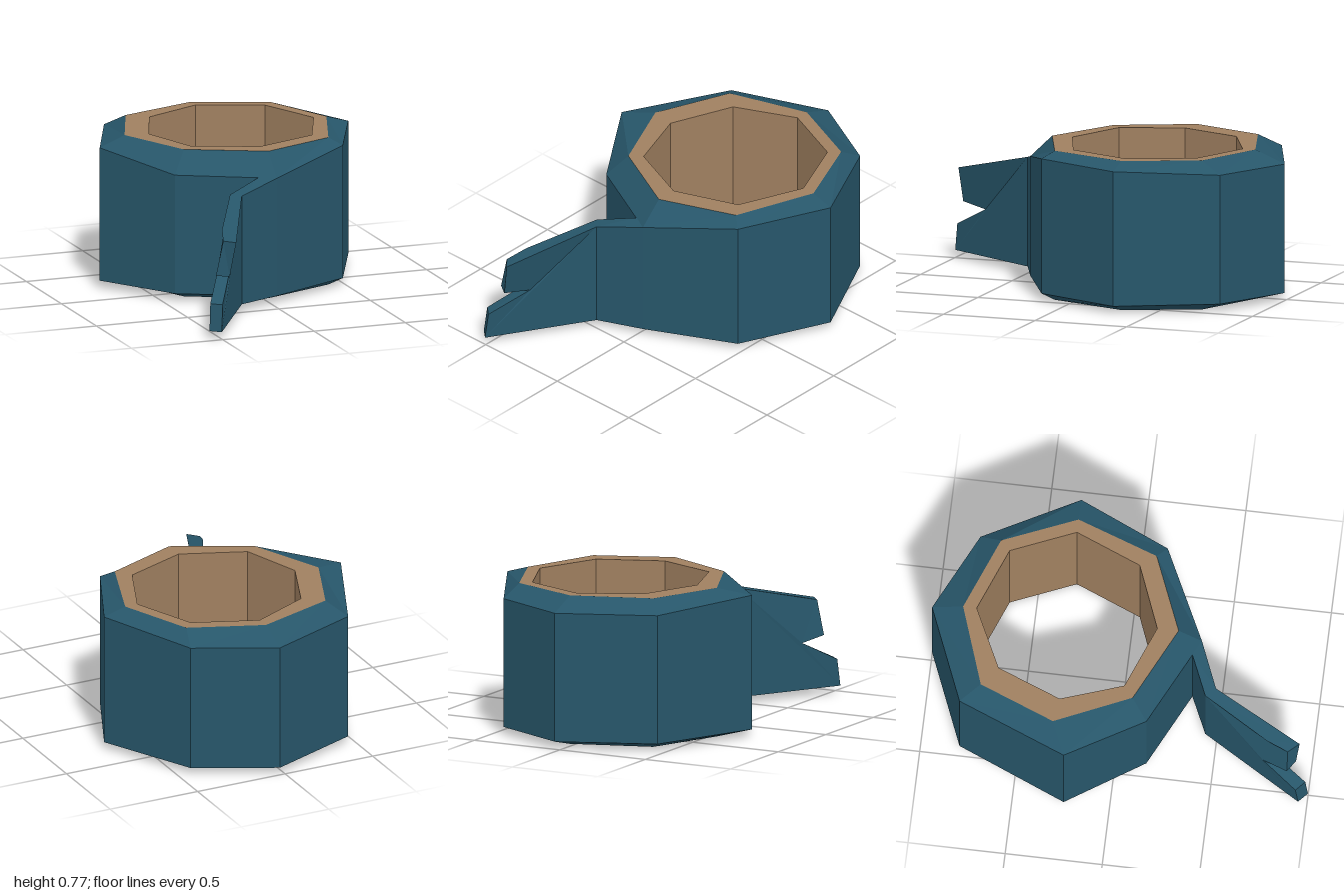
import * as THREE from 'three';

const teal = new THREE.MeshStandardMaterial({ color: 0x27566a });
teal.name = 'dark teal';
const tan = new THREE.MeshStandardMaterial({ color: 0xa08060 });
tan.name = 'cardboard tan';

// flat-faced mesh from a list of triangle corners
function facetMesh(name, corners, material) {
  const geo = new THREE.BufferGeometry();
  geo.setAttribute('position', new THREE.Float32BufferAttribute(corners.flat(), 3));
  geo.computeVertexNormals();
  const mesh = new THREE.Mesh(geo, material);
  mesh.name = name;
  return mesh;
}

const quad = (a, b, c, d) => [a, b, c, a, c, d];

// place plan points [x, z] at one height, or at one height per point
const ring = (plan, y) => plan.map(([x, z], i) => [x, Array.isArray(y) ? y[i] : y, z]);

// join successive eight-sided rings
function loft(name, rings, material) {
  const corners = [];
  for (let r = 0; r + 1 < rings.length; r++) {
    const a = rings[r], b = rings[r + 1], n = a.length;
    for (let i = 0; i < n; i++) {
      const j = (i + 1) % n;
      corners.push(...quad(a[j], a[i], b[i], b[j]));
    }
  }
  return facetMesh(name, corners, material);
}

// loose end of the roll: front outline with a matching back outline
function looseEnd() {
  const front = [
    [0.03, 0.04, 0.39], [-0.2, 0.04, 0.49], [-0.505, 0.04, 1.0], [-0.495, 0.18, 0.985],
    [-0.385, 0.285, 0.79], [-0.435, 0.31, 0.93], [-0.405, 0.49, 0.945], [-0.37, 0.52, 0.82],
    [-0.2, 0.61, 0.49], [0.03, 0.66, 0.39],
  ];
  const back = [
    [-0.05, 0.04, 0.35], [-0.245, 0.04, 0.44], [-0.555, 0.04, 0.955], [-0.545, 0.18, 0.94],
    [-0.44, 0.285, 0.76], [-0.495, 0.31, 0.89], [-0.455, 0.49, 0.89], [-0.42, 0.52, 0.78],
    [-0.245, 0.61, 0.44], [-0.05, 0.665, 0.35],
  ];
  const corners = [];
  // two panels, either side of the fold
  for (const panel of [[0, 1, 8, 9], [1, 2, 3, 4, 5, 6, 7, 8]]) {
    const flat = panel.map((k) => new THREE.Vector2(front[k][0], front[k][1]));
    for (const t of THREE.ShapeUtils.triangulateShape(flat, [])) {
      let [a, b, c] = t;
      if (THREE.ShapeUtils.area([flat[a], flat[b], flat[c]]) < 0) [b, c] = [c, b];
      corners.push(front[panel[a]], front[panel[b]], front[panel[c]]);
      corners.push(back[panel[a]], back[panel[c]], back[panel[b]]);
    }
  }
  // thickness along the cut edge
  for (let k = 0; k + 1 < front.length; k++) {
    corners.push(...quad(front[k], front[k + 1], back[k + 1], back[k]));
  }
  return facetMesh('looseEnd', corners, teal);
}

export function createModel() {
  const outer = [[0.03, -1], [0.44, -0.8], [0.69, -0.31], [0.48, 0.16],
    [0.03, 0.39], [-0.44, 0.16], [-0.7, -0.235], [-0.46, -0.8]];
  const rim = [[0.03, -0.84], [0.41, -0.69], [0.57, -0.31], [0.42, 0.11],
    [0.03, 0.27], [-0.36, 0.08], [-0.535, -0.31], [-0.38, -0.7]];
  const bore = [[0.03, -0.77], [0.36, -0.64], [0.5, -0.31], [0.36, 0.03],
    [0.03, 0.16], [-0.3, 0.03], [-0.41, -0.29], [-0.28, -0.62]];
  const outerTop = [0.71, 0.71, 0.74, 0.74, 0.66, 0.665, 0.74, 0.71];
  const top = 0.775;

  const model = new THREE.Group();
  model.name = 'tapeRoll';
  // wound tape with bevelled top and bottom edges
  model.add(loft('woundTape',
    [ring(rim, 0), ring(outer, 0.04), ring(outer, outerTop), ring(rim, top)], teal));
  // hollow core
  model.add(loft('core', [ring(rim, top), ring(bore, top), ring(bore, 0), ring(rim, 0)], tan));
  model.add(looseEnd());
  return model;
}
